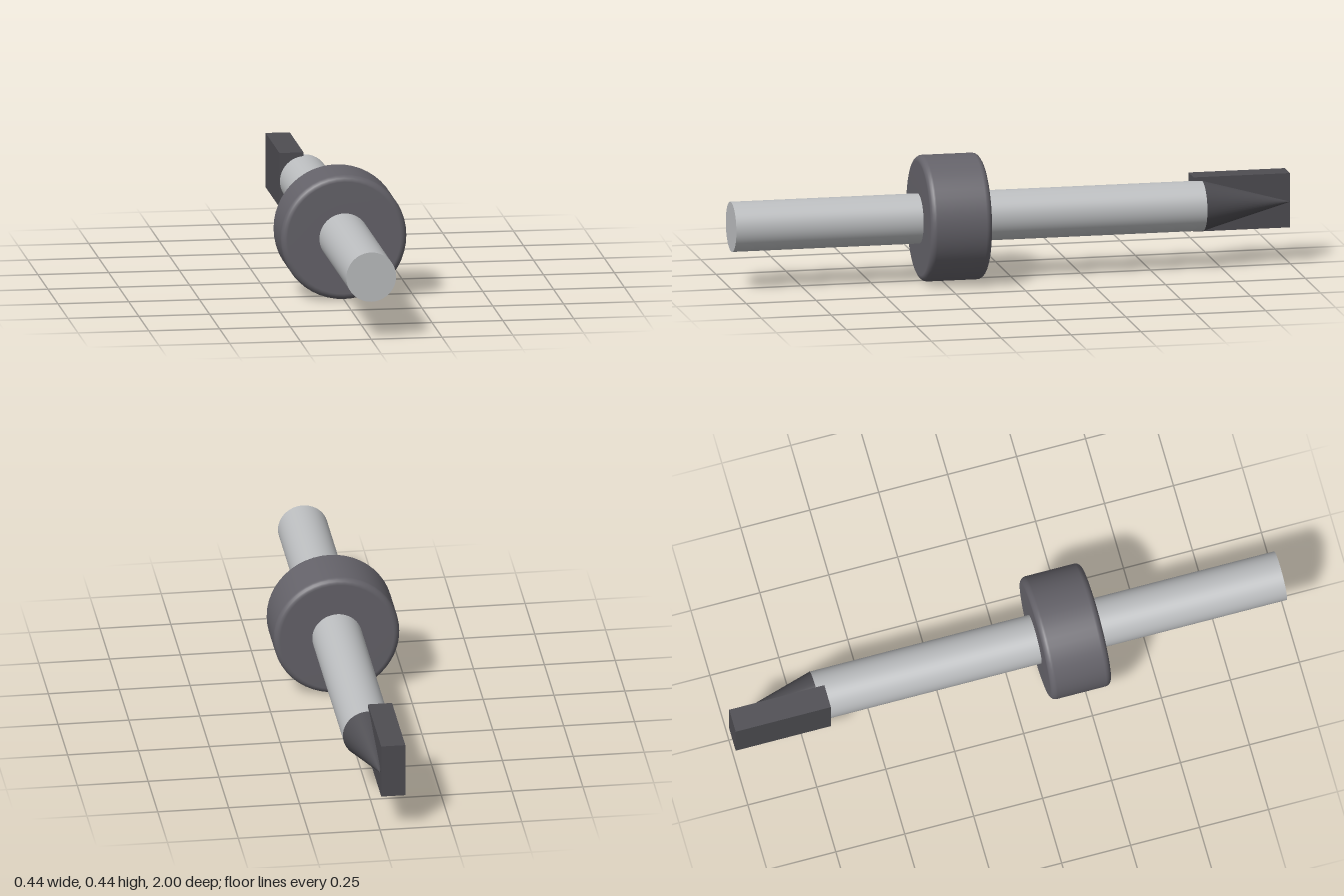
import * as THREE from 'three';

export function createModel() {
  const group = new THREE.Group();
  const steel = new THREE.MeshStandardMaterial({ name: 'light steel', color: 0xbcbec0 });
  const collarGrey = new THREE.MeshStandardMaterial({ name: 'collar grey', color: 0x65636a });
  const cutterGrey = new THREE.MeshStandardMaterial({ name: 'dark cutter grey', color: 0x4e4d52 });

  const axisY = 0.222, shaftR = 0.088, shaftEnd = -0.685;

  function add(name, geometry, material, x, y, z) {
    const mesh = new THREE.Mesh(geometry, material);
    mesh.name = name;
    mesh.position.set(x, y, z);
    group.add(mesh);
  }

  // Long round shaft along z
  const shaftLen = 1 - shaftEnd;
  add('shaft', new THREE.CylinderGeometry(shaftR, shaftR, shaftLen, 48).rotateX(Math.PI / 2),
    steel, 0, axisY, shaftEnd + shaftLen / 2);

  // Stop collar with rounded rims
  const R = 0.222, half = 0.11, bevel = 0.022;
  const profile = [new THREE.Vector2(shaftR - 0.01, -half)];
  for (const [cy, start] of [[-half + bevel, -Math.PI / 2], [half - bevel, 0]]) {
    for (let i = 0; i <= 5; i++) {
      const a = start + (i / 5) * Math.PI / 2;
      profile.push(new THREE.Vector2(R - bevel + bevel * Math.cos(a), cy + bevel * Math.sin(a)));
    }
  }
  profile.push(new THREE.Vector2(shaftR - 0.01, half));
  add('collar', new THREE.LatheGeometry(profile, 48).rotateX(Math.PI / 2), collarGrey, 0, axisY, 0.22);

  // Pointed tip at the back
  const tipLen = 1 + shaftEnd;
  add('tip', new THREE.ConeGeometry(shaftR, tipLen, 48).rotateX(-Math.PI / 2),
    cutterGrey, 0, axisY, shaftEnd - tipLen / 2);

  // Flat cutting blade on the right half of the tip
  add('blade', new THREE.BoxGeometry(0.085, 0.194, 0.345), cutterGrey, -0.047, 0.226, -0.8275);

  return group;
}
